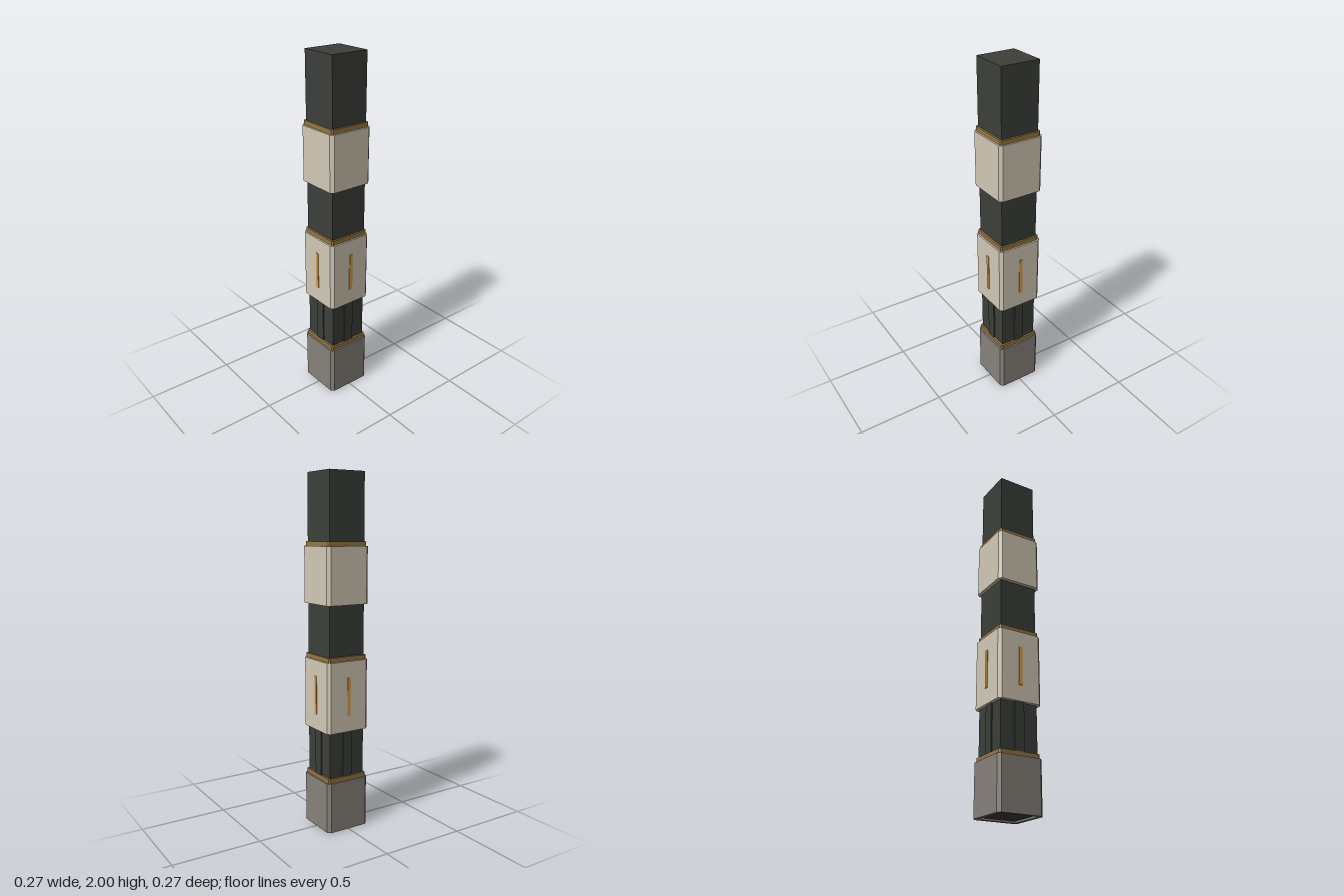
import * as THREE from 'three';

const mat = (color) => new THREE.MeshStandardMaterial({ color });
const dark = mat(0x3c3f3a), cream = mat(0xd3c9b6), stone = mat(0x87827b);
const brass = mat(0x957640), amber = mat(0xdb9f45);
const CORE = 0.112;

// Square sleeve with chamfered corners and a square hole, from y0 to y1
function sleeve(name, half, chamfer, y0, y1, material) {
  const a = half, b = half - chamfer, h = CORE - 0.001;
  const shape = new THREE.Shape([
    [a, -b], [a, b], [b, a], [-b, a], [-a, b], [-a, -b], [-b, -a], [b, -a],
  ].map(([x, y]) => new THREE.Vector2(x, y)));
  shape.holes.push(new THREE.Path(
    [[-h, -h], [-h, h], [h, h], [h, -h]].map(([x, y]) => new THREE.Vector2(x, y))));
  const geo = new THREE.ExtrudeGeometry(shape, { depth: y1 - y0, bevelEnabled: false });
  geo.rotateX(-Math.PI / 2).translate(0, y0, 0);
  const mesh = new THREE.Mesh(geo, material);
  mesh.name = name;
  return mesh;
}

// The same upright strip on each of the four faces
function strips(name, width, y0, y1, reach, material) {
  const group = new THREE.Group();
  group.name = name;
  const inner = CORE - 0.005;
  for (let i = 0; i < 4; i++) {
    const geo = new THREE.BoxGeometry(width, y1 - y0, reach - inner);
    geo.translate(0, (y0 + y1) / 2, (reach + inner) / 2).rotateY(i * Math.PI / 2);
    group.add(new THREE.Mesh(geo, material));
  }
  return group;
}

export function createModel() {
  const model = new THREE.Group();
  model.name = 'segmentedColumn';

  // Continuous square shaft, set slightly up inside the base
  const bottom = 0.01;
  const core = new THREE.Mesh(new THREE.BoxGeometry(CORE * 2, 2 - bottom, CORE * 2), dark);
  core.position.y = 1 + bottom / 2;
  core.name = 'shaft';
  model.add(core);

  // Cladding blocks, each capped by a thin metal band
  const tiers = [
    ['base', 0, 0.29, 0.315, stone],
    ['lowerCladding', 0.58, 0.98, 1.005, cream],
    ['upperCladding', 1.29, 1.605, 1.63, cream],
  ];
  for (const [name, y0, y1, top, material] of tiers) {
    model.add(sleeve(name, 0.133, 0.017, y0, y1, material));
    model.add(sleeve(name + 'Band', 0.123, 0.008, y1, top, brass));
  }

  // Raised ribs between base and lower cladding, and inlays on the cladding
  model.add(strips('ribs', 0.058, 0.315, 0.58, 0.119, dark));
  model.add(strips('inlays', 0.02, 0.67, 0.89, 0.137, amber));
  return model;
}
